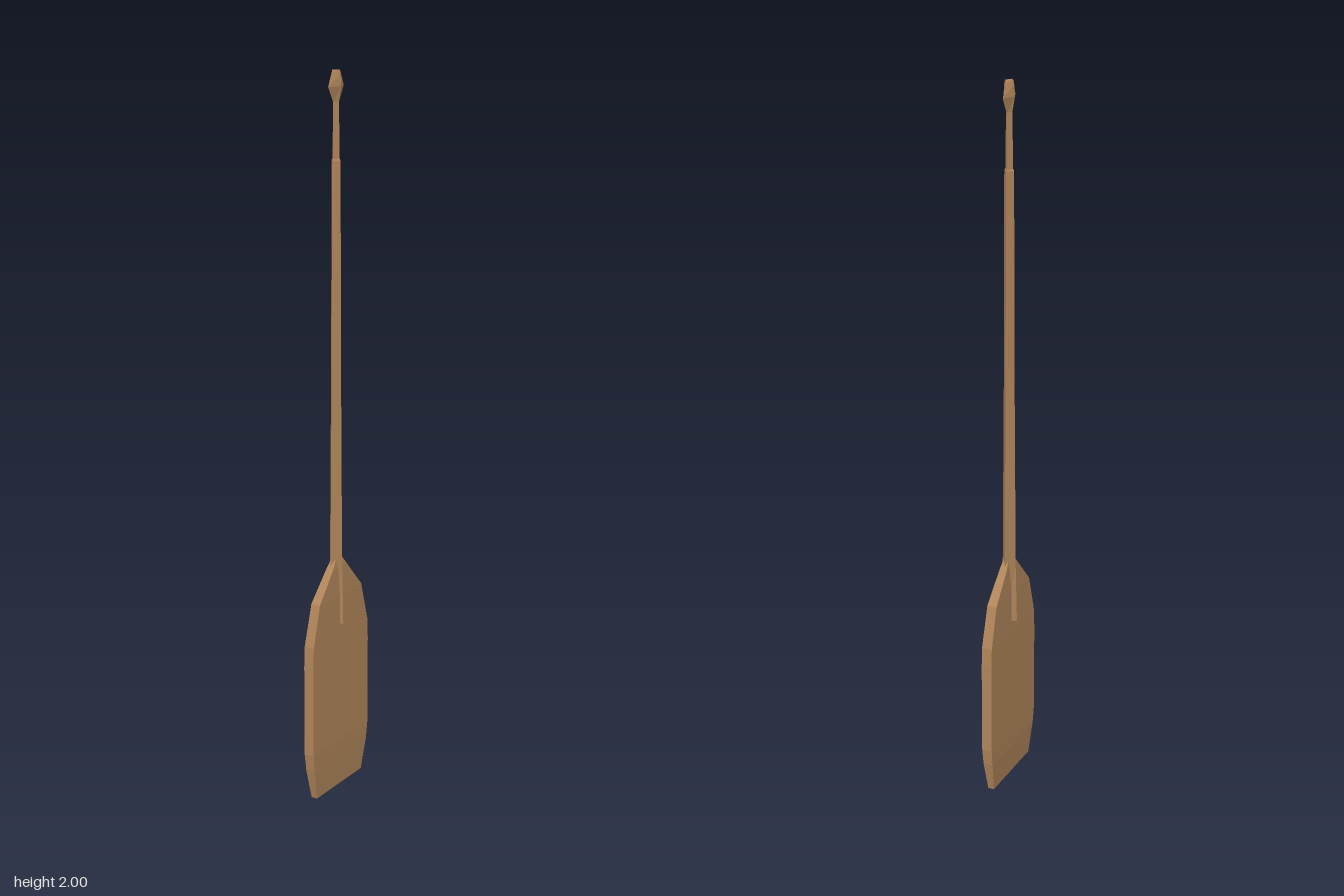
import * as THREE from 'three';

// Capped solid through four-cornered rings, listed from bottom to top
function loft(rings) {
  const pos = [];
  const tri = (...pts) => pts.forEach(p => pos.push(...p));
  for (let i = 0; i < rings.length - 1; i++) {
    for (let j = 0; j < 4; j++) {
      const k = (j + 1) % 4;
      const a = rings[i][j], b = rings[i][k], c = rings[i + 1][j], d = rings[i + 1][k];
      tri(a, c, b);
      tri(b, c, d);
    }
  }
  const lo = rings[0], hi = rings[rings.length - 1];
  for (let j = 1; j < 3; j++) {
    tri(lo[0], lo[j], lo[j + 1]);
    tri(hi[0], hi[j + 1], hi[j]);
  }
  const geo = new THREE.BufferGeometry();
  geo.setAttribute('position', new THREE.Float32BufferAttribute(pos, 3));
  geo.computeVertexNormals();
  return geo;
}

const diamond = ([y, hx, hz]) => [[hx, y, 0], [0, y, hz], [-hx, y, 0], [0, y, -hz]];
const rectangle = ([y, hx, hz]) => [[hx, y, -hz], [hx, y, hz], [-hx, y, hz], [-hx, y, -hz]];

export function createModel() {
  const wood = new THREE.MeshStandardMaterial({ color: 0xb0855a, flatShading: true });
  wood.name = 'wood';
  const group = new THREE.Group();
  group.name = 'paddle';
  const add = (name, section, rows) => {
    const mesh = new THREE.Mesh(loft(rows.map(section)), wood);
    mesh.name = name;
    group.add(mesh);
    return mesh;
  };

  // Flat blade: height, half thickness, half width
  const blade = add('blade', rectangle, [
    [0, 0.009, 0.115], [0.09, 0.014, 0.134], [0.14, 0.015, 0.14], [0.4, 0.015, 0.14],
    [0.46, 0.015, 0.137], [0.575, 0.014, 0.105], [0.655, 0.011, 0.035], [0.685, 0.007, 0.012],
  ]);
  blade.position.x = 0.002;

  // Tapering shaft with a diamond section
  add('shaft', diamond, [
    [0.49, 0.024, 0.022], [0.66, 0.02, 0.028], [1.2, 0.016, 0.022],
    [1.77, 0.014, 0.018], [1.775, 0.011, 0.016], [1.925, 0.009, 0.014],
  ]);

  // Faceted grip at the end of the shaft
  add('grip', diamond, [
    [1.92, 0.009, 0.014], [1.96, 0.016, 0.037], [1.99, 0.014, 0.023], [2, 0.012, 0.018],
  ]);
  return group;
}
